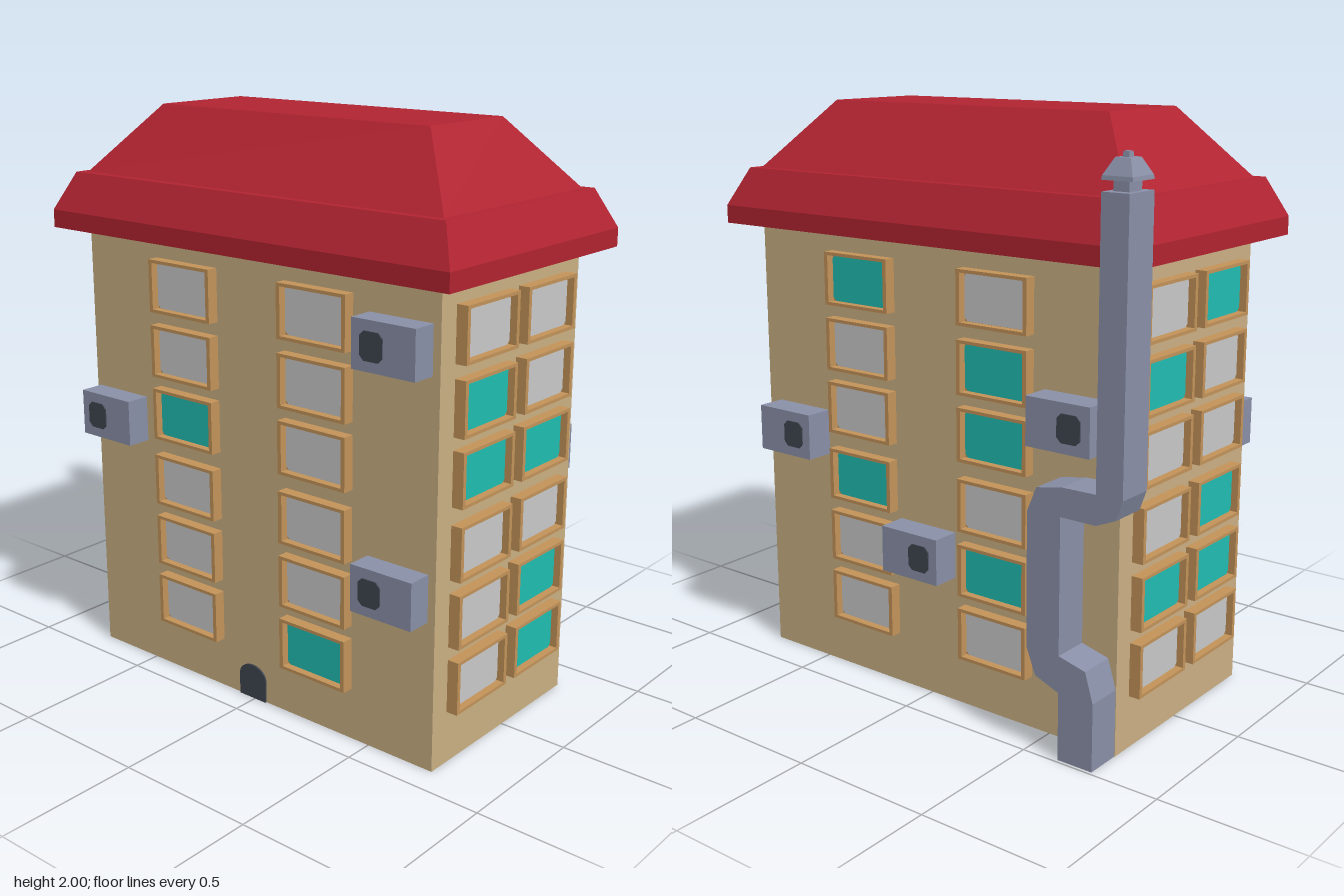
import * as THREE from 'three';

const mat = (name, color) => Object.assign(new THREE.MeshStandardMaterial({ color }), { name });

// Stacked rectangles [y, halfX, halfZ] joined into a closed, flat-faced solid
function loft(levels) {
  const ring = ([y, hx, hz]) => [[-hx, y, -hz], [-hx, y, hz], [hx, y, hz], [hx, y, -hz]];
  const rings = levels.map(ring);
  const pos = [];
  const quad = (a, b, c, d) => pos.push(...a, ...b, ...c, ...a, ...c, ...d);
  for (let i = 0; i < rings.length - 1; i++) {
    for (let j = 0; j < 4; j++) {
      const k = (j + 1) % 4;
      quad(rings[i][j], rings[i][k], rings[i + 1][k], rings[i + 1][j]);
    }
  }
  quad(...rings[rings.length - 1]);
  quad(...rings[0].slice().reverse());
  const g = new THREE.BufferGeometry();
  g.setAttribute('position', new THREE.Float32BufferAttribute(pos, 3));
  g.computeVertexNormals();
  return g;
}

// Rectangle with cut corners, centred on the origin
function cutRect(w, h, c) {
  const x = w / 2, y = h / 2;
  return new THREE.Shape([
    [-x + c, -y], [x - c, -y], [x, -y + c], [x, y - c],
    [x - c, y], [-x + c, y], [-x, y - c], [-x, -y + c],
  ].map(([a, b]) => new THREE.Vector2(a, b)));
}

const extrude = (shape, depth) =>
  new THREE.ExtrudeGeometry(shape, { depth, bevelEnabled: false, curveSegments: 6 });

export function createModel() {
  const wall = mat('wall tan', 0xcbb084);
  const wood = mat('frame wood', 0xc4945a);
  const grey = mat('dark window grey', 0xc9c9c9);
  const teal = mat('lit window teal', 0x20bdb2);
  const red = mat('roof red', 0xb22431);
  const metal = mat('metal blue grey', 0x8a90a8);
  const dark = mat('dark grey', 0x3f454f);

  const model = new THREE.Group();
  const add = (parent, name, geo, material, x = 0, y = 0, z = 0) => {
    const m = new THREE.Mesh(geo, material);
    m.name = name;
    m.position.set(x, y, z);
    parent.add(m);
    return m;
  };

  // Building and hipped roof with a flared eave
  const CX = -0.02, HX = 0.38, HZ = 0.757;
  add(model, 'building', new THREE.BoxGeometry(HX * 2, 1.6, HZ * 2), wall, CX, 0.8, 0);
  add(model, 'roof', loft([
    [1.578, 0.47, 0.845], [1.64, 0.47, 0.845], [1.77, 0.41, 0.785],
    [1.77, 0.38, 0.757], [2, 0.193, 0.567],
  ]), red, CX, 0, 0);

  // Window parts, shared by all walls
  const ring = cutRect(0.28, 0.182, 0);
  ring.holes.push(cutRect(0.25, 0.16, 0));
  const frameGeo = extrude(ring, 0.04);
  const backGeo = new THREE.BoxGeometry(0.26, 0.17, 0.012);
  const paneGeo = extrude(cutRect(0.246, 0.157, 0.012), 0.004);
  const rowY = [1.418, 1.19, 0.966, 0.725, 0.498, 0.272];

  // Rows run top to bottom, columns left to right seen from outside; T is a lit pane
  const walls = [
    { name: 'front', turn: 0, out: HZ, col: 0.165, rows: ['GG', 'TG', 'TT', 'GG', 'GT', 'GT'] },
    { name: 'back', turn: Math.PI, out: HZ, col: 0.165, rows: ['GT', 'TG', 'GG', 'GT', 'TT', 'GG'] },
    { name: 'left', turn: Math.PI / 2, out: HX, col: 0.288, rows: ['TG', 'GT', 'GT', 'TG', 'GT', 'GG'],
      units: [[-0.585, 0.86], [-0.012, 0.53], [0.59, 1.08]], unitDepth: 0.1, fanShift: 0.043 },
    { name: 'right', turn: -Math.PI / 2, out: HX, col: 0.288, rows: ['GG', 'GG', 'TG', 'GG', 'GG', 'GT'],
      units: [[0.61, 1.38], [-0.622, 0.923], [0.61, 0.59]], unitDepth: 0.087, fanShift: -0.043 },
  ];
  const fanGeo = extrude(cutRect(0.086, 0.092, 0.016), 0.005);

  for (const w of walls) {
    const side = new THREE.Group();
    side.name = w.name + 'Wall';
    side.position.x = CX;
    side.rotation.y = w.turn;
    model.add(side);
    w.rows.forEach((row, r) => [...row].forEach((kind, c) => {
      const win = new THREE.Group();
      win.name = 'window';
      win.position.set(c ? w.col : -w.col, rowY[r], w.out);
      side.add(win);
      add(win, 'windowFrame', frameGeo, wood);
      add(win, 'windowBacking', backGeo, wood, 0, 0, 0.006);
      add(win, 'windowPane', paneGeo, kind === 'T' ? teal : grey, 0, 0, 0.012);
    }));

    // Air conditioners with a dark fan grille
    for (const [x, y] of w.units ?? []) {
      add(side, 'airConditioner', new THREE.BoxGeometry(0.238, 0.16, w.unitDepth), metal,
        x, y, w.out + w.unitDepth / 2);
      add(side, 'fanGrille', fanGeo, dark, x + w.fanShift, y, w.out + w.unitDepth - 0.001);
    }

    // Small arched door
    if (w.name === 'right') {
      const arch = new THREE.Shape();
      arch.moveTo(-0.06, 0);
      arch.lineTo(0.06, 0);
      arch.lineTo(0.06, 0.08);
      arch.absellipse(0, 0.08, 0.06, 0.045, 0, Math.PI);
      add(side, 'door', extrude(arch, 0.006), dark, -0.01, 0, w.out);
    }
  }

  // Square duct, drawn side-on as [-z, y] and extruded across x
  const duct = new THREE.Shape([
    [0.625, 0], [0.755, 0], [0.755, 0.23], [0.725, 0.33], [0.625, 0.355],
    [0.625, 0.81], [0.755, 0.81], [0.825, 0.84], [0.848, 0.905], [0.848, 1.8],
    [0.753, 1.8], [0.753, 0.907], [0.63, 0.905], [0.535, 0.887], [0.5, 0.805],
    [0.5, 0.355], [0.535, 0.265], [0.625, 0.23],
  ].map(([a, b]) => new THREE.Vector2(a, b)));
  add(model, 'duct', extrude(duct, 0.13).rotateY(Math.PI / 2), metal, 0.358, 0, 0);

  // Chimney cap: neck, hood and knob
  add(model, 'chimneyCap', loft([
    [1.79, 0.033, 0.027], [1.832, 0.033, 0.027], [1.832, 0.057, 0.053],
    [1.845, 0.055, 0.051], [1.895, 0.028, 0.026], [1.895, 0.012, 0.012], [1.912, 0.01, 0.01],
  ]), metal, 0.424, 0, -0.8);

  return model;
}
